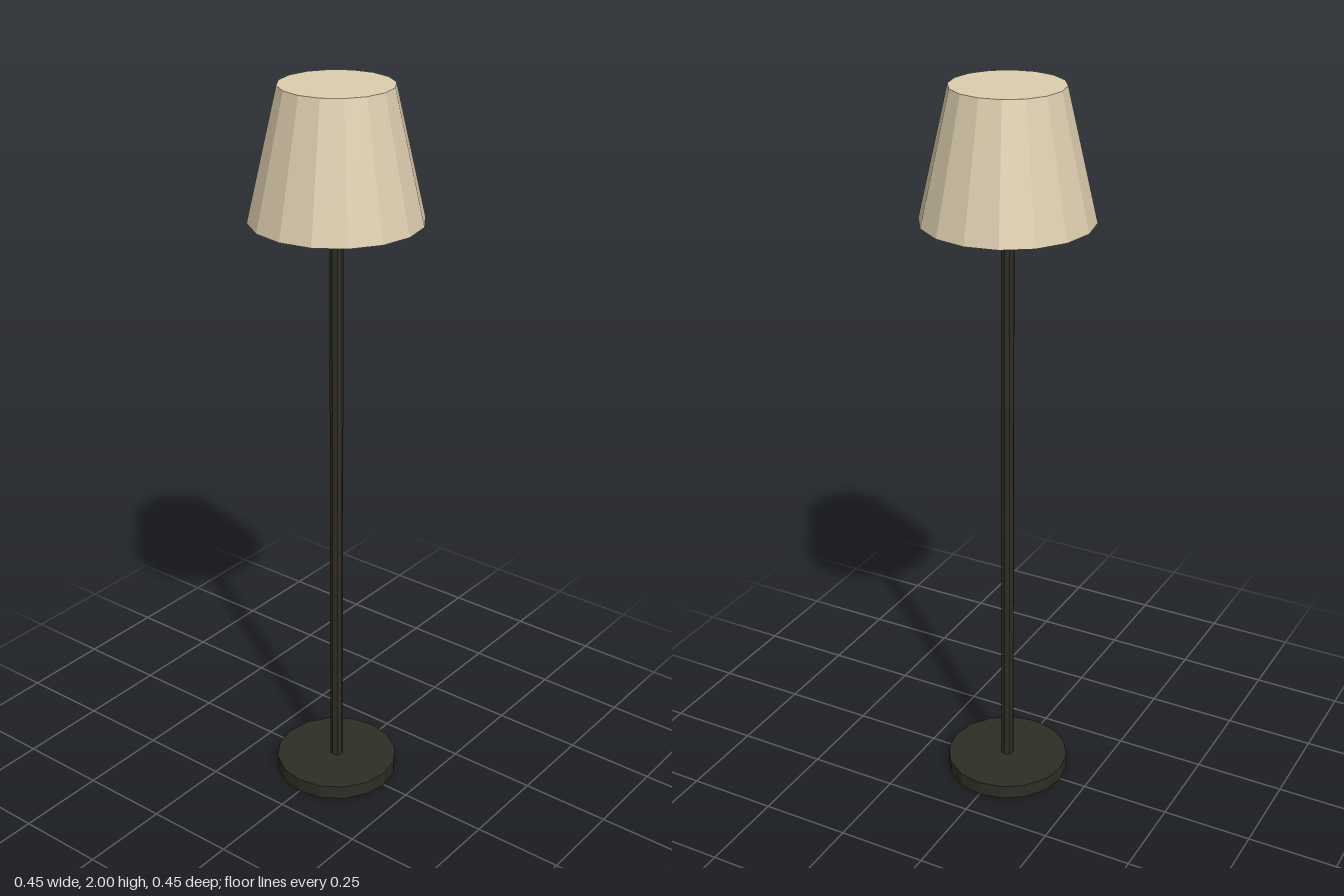
import * as THREE from 'three';

export function createModel() {
  const lamp = new THREE.Group();
  lamp.name = 'floorLamp';

  const darkMetal = new THREE.MeshStandardMaterial({ color: 0x2e2d25, flatShading: true });
  darkMetal.name = 'dark metal';
  const creamFabric = new THREE.MeshStandardMaterial({ color: 0xdccdae, flatShading: true });
  creamFabric.name = 'cream fabric';

  // Upright capped cylinder or cone between two heights
  function addRound(name, material, topRadius, bottomRadius, bottom, top, sides) {
    const geometry = new THREE.CylinderGeometry(topRadius, bottomRadius, top - bottom, sides);
    const mesh = new THREE.Mesh(geometry, material);
    mesh.name = name;
    mesh.position.y = (bottom + top) / 2;
    lamp.add(mesh);
  }

  addRound('base', darkMetal, 0.172, 0.172, 0, 0.04, 16);
  addRound('pole', darkMetal, 0.018, 0.018, 0.04, 1.66, 8);
  addRound('shade', creamFabric, 0.147, 0.226, 1.657, 2, 16);

  return lamp;
}
